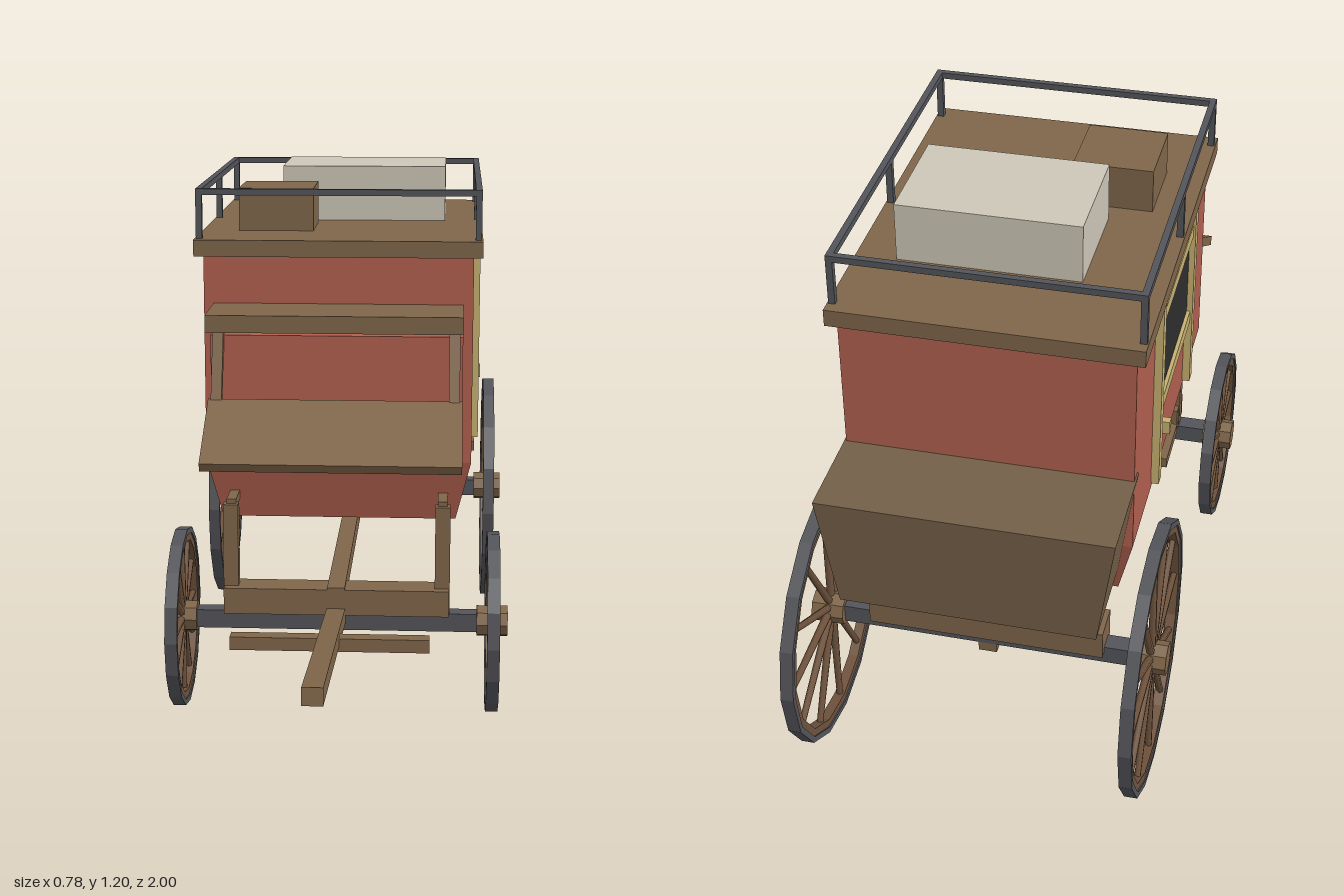
import * as THREE from 'three';

const flat = (name, color, double) => {
  const m = new THREE.MeshStandardMaterial({ color });
  m.name = name;
  if (double) m.side = THREE.DoubleSide;
  return m;
};

export function createModel() {
  const red = flat('red paint', 0xb0604f);
  const wood = flat('wood', 0x80664a);
  const boot = flat('boot brown', 0x746048);
  const spokeWood = flat('dark wood', 0x6f533d);
  const gold = flat('gold trim', 0xc8b272);
  const iron = flat('iron', 0x54555a);
  const glass = flat('window black', 0x2e2e2e);
  const canvas = flat('pale canvas', 0xcdc7b7);

  const coach = new THREE.Group();
  coach.name = 'coach';

  const add = (name, geo, mat, parent = coach) => {
    const mesh = new THREE.Mesh(geo, mat);
    mesh.name = name;
    parent.add(mesh);
    return mesh;
  };
  // Box given by its limits on each axis
  const box = (name, mat, x0, x1, y0, y1, z0, z1) => {
    const m = add(name, new THREE.BoxGeometry(x1 - x0, y1 - y0, z1 - z0), mat);
    m.position.set((x0 + x1) / 2, (y0 + y1) / 2, (z0 + z1) / 2);
    return m;
  };
  // Box whose lower face has its own limits
  const tapered = (name, mat, y0, y1, top, bottom) => {
    const g = new THREE.BoxGeometry(1, 1, 1).toNonIndexed();
    const p = g.attributes.position;
    for (let i = 0; i < p.count; i++) {
      const up = p.getY(i) > 0;
      const [hw, back, front] = up ? top : bottom;
      p.setXYZ(i, Math.sign(p.getX(i)) * hw, up ? y1 : y0, p.getZ(i) > 0 ? front : back);
    }
    g.computeVertexNormals();
    return add(name, g, mat);
  };
  // Bar running between two points in the y-z plane
  const bar = (name, mat, x, width, thick, y0, z0, y1, z1) => {
    const m = add(name, new THREE.BoxGeometry(width, thick, Math.hypot(y1 - y0, z1 - z0)), mat);
    m.position.set(x, (y0 + y1) / 2, (z0 + z1) / 2);
    m.rotation.x = -Math.atan2(y1 - y0, z1 - z0);
    return m;
  };

  // Cabin, roof and boots
  box('cabin', red, -0.302, 0.302, 0.57, 1.04, -0.675, 0.14);
  tapered('cabinBottom', red, 0.43, 0.57, [0.302, -0.675, 0.14], [0.268, -0.645, 0.108]);
  box('roof', wood, -0.322, 0.322, 1.04, 1.077, -0.695, 0.16);
  box('frontBoot', red, -0.28, 0.28, 0.64, 0.873, 0.13, 0.213);
  tapered('rearBoot', boot, 0.487, 0.743, [0.306, -0.882, -0.645], [0.268, -0.872, -0.655]);

  // Driver's bench, footboard and its struts
  box('driverSeat', wood, -0.28, 0.28, 0.895, 0.933, 0.14, 0.31);
  bar('footboard', wood, 0, 0.56, 0.022, 0.731, 0.265, 0.627, 0.445);

  // Doors and side details, mirrored
  for (const s of [1, -1]) {
    const side = (name, mat, x0, x1, ...rest) =>
      box(name, mat, Math.min(s * x0, s * x1), Math.max(s * x0, s * x1), ...rest);
    side('window', glass, 0.3, 0.306, 0.77, 0.975, -0.45, -0.09);
    side('doorPost', gold, 0.3, 0.319, 0.583, 1.03, -0.095, -0.067);
    side('doorPost', gold, 0.3, 0.319, 0.583, 1.03, -0.477, -0.449);
    side('windowRail', gold, 0.3, 0.314, 0.97, 1.0, -0.449, -0.095);
    side('windowRail', gold, 0.3, 0.314, 0.745, 0.775, -0.449, -0.095);
    side('doorHandle', gold, 0.3, 0.327, 0.664, 0.695, -0.405, -0.387);
    side('doorStep', wood, 0.28, 0.312, 0.517, 0.54, -0.335, -0.205);
    bar('seatStrut', wood, s * 0.262, 0.024, 0.02, 0.9, 0.205, 0.637, 0.3);
    // Suspension posts
    side('frontPost', wood, 0.223, 0.257, 0.235, 0.485, 0.187, 0.218);
    side('frontBracket', wood, 0.228, 0.25, 0.475, 0.495, 0.09, 0.205);
    side('rearPost', wood, 0.19, 0.22, 0.37, 0.5, -0.72, -0.68);
  }

  // Roof rail
  const rail = 0.014, rx = 0.312, rz0 = -0.67, rz1 = 0.135;
  for (const s of [1, -1]) {
    box('railSide', iron, s * rx - rail / 2, s * rx + rail / 2, 1.174, 1.188, rz0, rz1);
    for (const z of [rz0 + rail / 2, -0.267, rz1 - rail / 2])
      box('railPost', iron, s * rx - rail / 2, s * rx + rail / 2, 1.077, 1.175, z - rail / 2, z + rail / 2);
  }
  for (const z of [rz0, rz1 - rail])
    box('railEnd', iron, -rx, rx, 1.174, 1.188, z, z + rail);

  // Luggage
  box('smallTrunk', wood, -0.238, -0.066, 1.077, 1.174, -0.187, -0.017);
  box('largeTrunk', canvas, -0.153, 0.235, 1.077, 1.206, -0.485, -0.232);

  // Undercarriage
  box('frontAxle', iron, -0.34, 0.34, 0.195, 0.237, 0.182, 0.222);
  box('rearAxle', iron, -0.34, 0.34, 0.28, 0.322, -0.72, -0.68);
  box('frontBolster', wood, -0.255, 0.255, 0.235, 0.295, 0.165, 0.24);
  box('rearBolster', wood, -0.255, 0.255, 0.31, 0.375, -0.74, -0.66);
  box('perch', wood, -0.02, 0.02, 0.258, 0.3, -0.72, 0.24);
  bar('pole', wood, 0, 0.042, 0.036, 0.228, 0.2, 0.323, 0.997);
  box('swingletree', wood, -0.215, 0.215, 0.233, 0.262, 0.447, 0.482);

  // Ring with a rectangular section, turned about the wheel axis
  const ring = (inner, outer, half, sides) => {
    const pts = [[inner, -half], [outer, -half], [outer, half], [inner, half], [inner, -half]];
    const g = new THREE.LatheGeometry(pts.map(p => new THREE.Vector2(...p)), sides).toNonIndexed();
    g.computeVertexNormals();
    return g.rotateZ(Math.PI / 2);
  };
  const wheel = (name, x, y, z, radius) => {
    const g = new THREE.Group();
    g.name = name;
    g.position.set(x, y, z);
    coach.add(g);
    add('tyre', ring(radius - 0.013, radius, 0.014, 16), iron, g);
    add('rim', ring(radius - 0.03, radius - 0.013, 0.011, 16), spokeWood, g);
    const hub = new THREE.CylinderGeometry(0.036, 0.036, 0.07, 8).toNonIndexed();
    hub.computeVertexNormals();
    add('hub', hub.rotateZ(Math.PI / 2), wood, g);
    const length = radius - 0.045;
    for (let i = 0; i < 12; i++) {
      const spoke = new THREE.CylinderGeometry(0.007, 0.009, length, 6);
      spoke.translate(0, 0.025 + length / 2, 0).rotateX((i * Math.PI) / 6);
      add('spoke', spoke, spokeWood, g);
    }
  };
  for (const s of [1, -1]) {
    wheel('frontWheel', s * 0.354, 0.217, 0.203, 0.205);
    wheel('rearWheel', s * 0.354, 0.302, -0.703, 0.295);
  }
  return coach;
}
